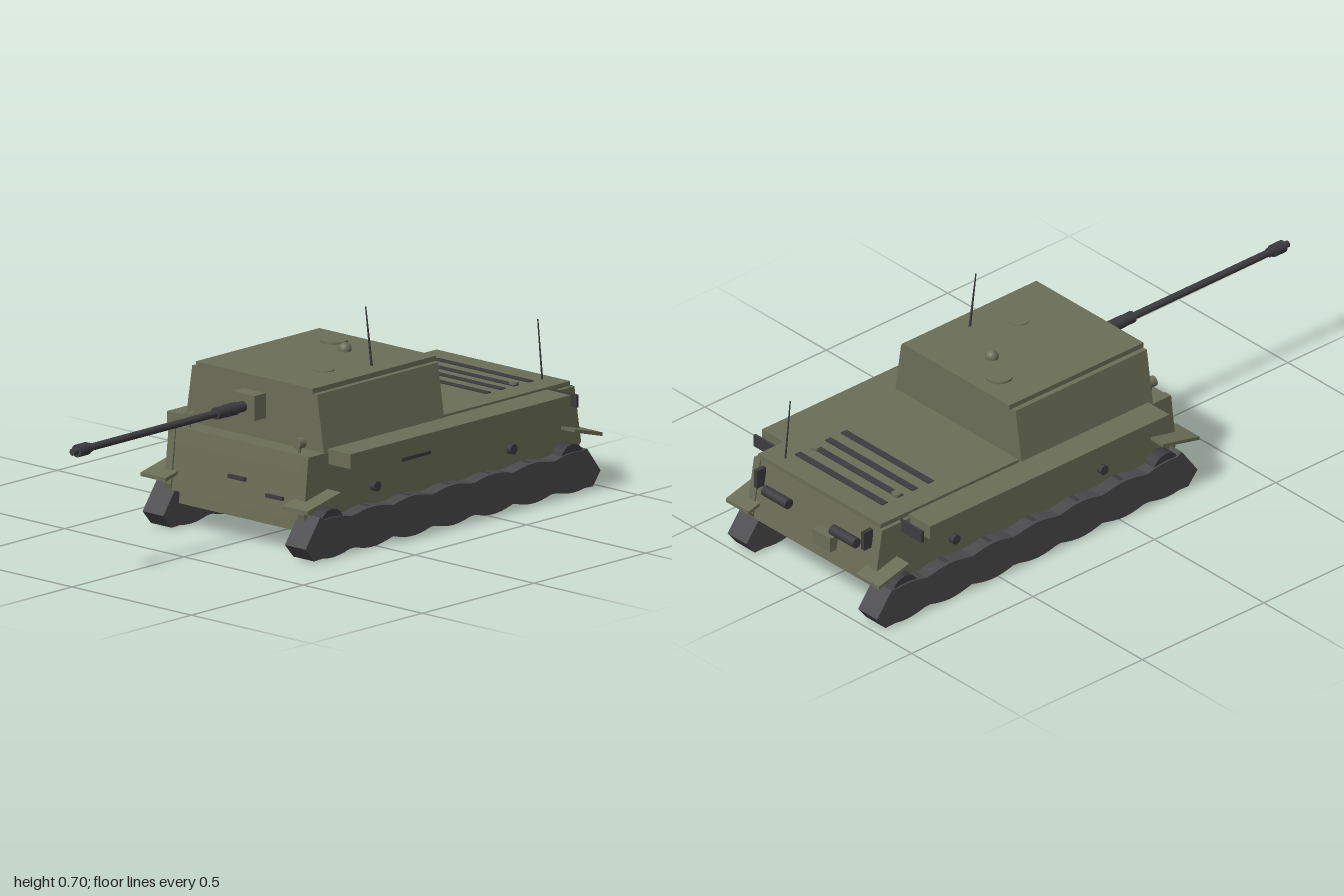
import * as THREE from 'three';

export function createModel() {
  const model = new THREE.Group();
  const olive = new THREE.MeshStandardMaterial({ color: 0x6b6e57 });
  const trackGrey = new THREE.MeshStandardMaterial({ color: 0x4a4a4c });
  const dark = new THREE.MeshStandardMaterial({ color: 0x3c3c40 });

  const add = (name, geo, mat = olive) => {
    const mesh = new THREE.Mesh(geo, mat);
    mesh.name = name;
    model.add(mesh);
    return mesh;
  };
  // Box given by its ranges on each axis
  const box = (name, [x0, x1], [y0, y1], [z0, z1], mat) => add(name,
    new THREE.BoxGeometry(x1 - x0, y1 - y0, z1 - z0)
      .translate((x0 + x1) / 2, (y0 + y1) / 2, (z0 + z1) / 2), mat);
  // Cylinder between two points
  const rod = (name, a, b, r0, r1 = r0, mat = dark, sides = 20) => {
    const p = new THREE.Vector3(...a), q = new THREE.Vector3(...b);
    const mesh = add(name, new THREE.CylinderGeometry(r1, r0, p.distanceTo(q), sides), mat);
    mesh.position.copy(p).add(q).multiplyScalar(0.5);
    mesh.quaternion.setFromUnitVectors(new THREE.Vector3(0, 1, 0), q.sub(p).normalize());
    return mesh;
  };
  // Side outline of [z, y] points extruded across x
  const across = (name, pts, x0, x1, mat) => {
    const shape = new THREE.Shape(pts.map(([z, y]) => new THREE.Vector2(z, y)));
    const geo = new THREE.ExtrudeGeometry(shape, { depth: x1 - x0, bevelEnabled: false });
    return add(name, geo.rotateY(-Math.PI / 2).translate(x1, 0, 0), mat);
  };

  // Hull: open underneath, made of plates
  box('hullDeck', [-0.285, 0.285], [0.305, 0.32], [-0.925, 0.245]);
  box('engineDeck', [-0.28, 0.28], [0.32, 0.335], [-0.93, -0.36]);
  across('frontPlate', [[0.25, 0.32], [0.235, 0.32], [0.255, 0.125], [0.272, 0.122]], -0.265, 0.265);
  across('upperFrontPlate', [[0.25, 0.32], [0.24, 0.32], [0.245, 0.27], [0.257, 0.27]], -0.265, 0.265);
  across('lowerFrontPlate', [[0.24, 0.2], [0.225, 0.2], [0.235, 0.082], [0.25, 0.078]], -0.255, 0.255);
  across('rearPlate', [[-0.93, 0.32], [-0.962, 0.125], [-0.945, 0.125], [-0.913, 0.32]], -0.265, 0.265);

  // Superstructure with inward-leaning sides
  const cabin = new THREE.Shape([[-0.29, 0.32], [0.29, 0.32], [0.262, 0.5], [-0.262, 0.5]]
    .map((p) => new THREE.Vector2(...p)));
  add('superstructure', new THREE.ExtrudeGeometry(cabin, { depth: 0.54, bevelEnabled: false })
    .translate(0, 0, -0.357));
  box('roof', [-0.245, 0.245], [0.5, 0.516], [-0.368, 0.185]);

  // Roof fittings
  rod('roofHatch', [-0.1, 0.515, -0.28], [-0.1, 0.523, -0.28], 0.042, 0.042, olive, 24);
  rod('roofCover', [0.11, 0.515, -0.01], [0.11, 0.519, -0.01], 0.034, 0.034, olive, 24);
  const dome = add('periscopeDome', new THREE.SphereGeometry(0.021, 20, 10, 0, Math.PI * 2, 0, Math.PI / 2));
  dome.position.set(0, 0.522, -0.22);
  rod('domeBase', [0, 0.515, -0.22], [0, 0.522, -0.22], 0.021, 0.021, olive);
  rod('roofAntenna', [0.183, 0.515, -0.145], [0.172, 0.703, -0.13], 0.004, 0.002, dark, 8);
  rod('rearAntenna', [0.205, 0.335, -0.885], [0.205, 0.53, -0.865], 0.003, 0.002, dark, 8);

  // Gun
  box('mantlet', [-0.047, 0.047], [0.388, 0.467], [0.18, 0.235]);
  [[0.23, 0.27, 0.017], [0.27, 0.32, 0.02], [0.32, 0.36, 0.019], [0.36, 0.94, 0.0115],
    [0.92, 0.935, 0.015], [0.935, 0.98, 0.02], [0.98, 1, 0.011]].forEach(([z0, z1, r]) =>
    rod('gunBarrel', [0, 0.427, z0], [0, 0.427, z1], r));

  // Front slots
  box('visionSlot', [-0.03, 0.04], [0.202, 0.214], [0.25, 0.272], dark);
  box('towSlot', [0.13, 0.2], [0.17, 0.181], [0.25, 0.275], dark);

  // Engine deck grilles
  [-0.84, -0.775, -0.715, -0.65].forEach((z) =>
    box('grille', [-0.2, 0.2], [0.33, 0.338], [z - 0.012, z + 0.012], dark));

  // Track outline: pointed ends, scalloped between the wheels
  const wheelZ = Array.from({ length: 7 }, (_, i) => 0.2 - i * 0.18);
  const wave = (z) => Math.abs(Math.cos(((z - 0.2) / 0.18) * Math.PI));
  const outline = [[0.32, 0.05], [0.282, 0.006]];
  for (let i = 0; i <= 48; i++) {
    const z = 0.245 - i * 0.0244;
    outline.push([z, 0.019 - 0.016 * wave(z)]);
  }
  outline.push([-0.965, 0.006], [-1, 0.05], [-0.94, 0.13]);
  for (let i = 48; i >= 0; i--) {
    const z = 0.235 - i * 0.024;
    outline.push([z, 0.116 + 0.014 * wave(z)]);
  }
  outline.push([0.255, 0.14]);

  // Parts repeated on both sides
  for (const s of [1, -1]) {
    const span = (a, b) => (s > 0 ? [a, b] : [-b, -a]);
    across('sidePlate', [[0.255, 0.32], [-0.935, 0.32], [-0.965, 0.14], [-0.95, 0.12], [0.27, 0.12], [0.275, 0.14]],
      ...span(0.265, 0.293));
    across('track', outline, ...span(0.255, 0.342), trackGrey);
    wheelZ.forEach((z) => rod('roadWheel', [s * 0.265, 0.066, z], [s * 0.328, 0.066, z], 0.065));
    [0.195, -0.88].forEach((z) =>
      rod('endWheel', [s * 0.262, 0.1, z], [s * 0.336, 0.1, z], 0.055, 0.055, dark, 16));

    // Fender box and its end plate
    box('fender', span(0.285, 0.385), [0.283, 0.33], [-0.82, 0.165]);
    box('fenderEndPlate', span(0.285, 0.385), [0.285, 0.325], [-0.855, -0.846], dark);

    // Sloping mudguards
    across('frontMudguard', [[0.17, 0.205], [0.17, 0.195], [0.32, 0.16], [0.32, 0.172]], ...span(0.245, 0.35));
    across('rearMudguard', [[-0.875, 0.205], [-1, 0.172], [-1, 0.16], [-0.875, 0.195]], ...span(0.245, 0.35));

    // Side fittings
    box('sideBox', span(0.26, 0.315), [0.262, 0.3], [-0.67, -0.582]);
    box('sideSlot', span(0.288, 0.297), [0.229, 0.24], [-0.29, -0.16], dark);
    [-0.035, -0.645].forEach((z) =>
      rod('sideKnob', [s * 0.28, 0.178, z], [s * 0.312, 0.178, z], 0.016, 0.016, dark, 12));

    // Headlights
    rod('headlight', [s * 0.23, 0.35, 0.215], [s * 0.23, 0.35, 0.242], 0.017, 0.017, olive);
    rod('headlightStalk', [s * 0.23, 0.318, 0.228], [s * 0.23, 0.35, 0.228], 0.004, 0.004, olive, 8);

    // Rear fittings
    rod('deckKnob', [s * 0.185, 0.333, -0.78], [s * 0.185, 0.345, -0.78], 0.015, 0.015, olive);
    rod('exhaust', [s * 0.1, 0.25, -0.965], [s * 0.21, 0.25, -0.965], 0.017);
    box('rearLampBar', span(0.238, 0.252), [0.245, 0.308], [-0.972, -0.935], dark);
  }
  box('rearBox', [-0.105, -0.025], [0.175, 0.225], [-0.98, -0.945]);

  return model;
}
